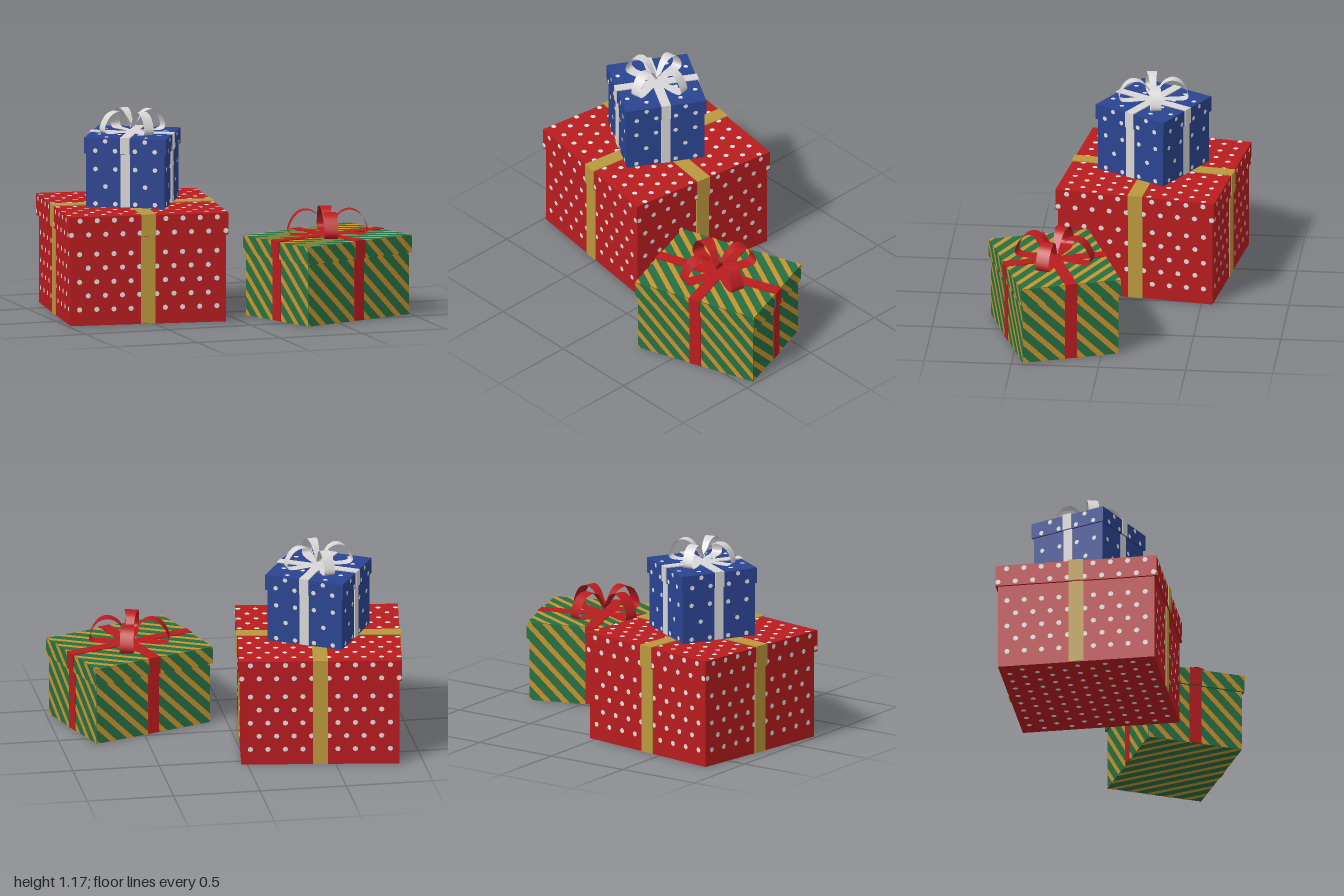
import * as THREE from 'three';
import { mergeGeometries } from 'three/addons/utils/BufferGeometryUtils.js';

const flat = (name, color, side = THREE.FrontSide) => {
  const m = new THREE.MeshStandardMaterial({ color, side });
  m.name = name;
  return m;
};

function add(group, name, geometry, material) {
  const mesh = new THREE.Mesh(geometry, material);
  mesh.name = name;
  group.add(mesh);
  return mesh;
}

// Staggered dots covering a w x h rectangle; narrow bands get two rows around the middle
function dots(w, h, pitch, row, radius, shift) {
  const list = [], cols = Math.ceil(w / pitch), rows = Math.ceil(h / row);
  const narrow = h < 2 * row;
  const offset = narrow ? row / 2 : h < w ? shift : 0;
  for (let j = -rows; j <= rows; j++) {
    const y = j * row + offset;
    if (Math.abs(y) > h / 2 - radius) continue;
    for (let i = -cols; i <= cols; i++) {
      const x = (i + (j & 1 ? 0.5 : 0)) * pitch;
      if (Math.abs(x) > w / 2 - radius) continue;
      list.push(new THREE.CircleGeometry(radius, 8).translate(x, y, 0));
    }
  }
  return list;
}

// Keep the part of a polygon where s * (x + y) <= s * limit
function clip(points, s, limit) {
  const out = [], dist = p => s * (p.x + p.y - limit);
  points.forEach((a, i) => {
    const b = points[(i + 1) % points.length], da = dist(a), db = dist(b);
    if (da <= 0) out.push(a);
    if (da * db < 0) out.push(a.clone().lerp(b, da / (da - db)));
  });
  return out;
}

// Diagonal stripes cut to a w x h rectangle
function stripes(w, h, pitch, width) {
  const list = [], end = (w + h) / 2;
  const rect = [[-1, -1], [1, -1], [1, 1], [-1, 1]].map(([x, y]) => new THREE.Vector2(x * w / 2, y * h / 2));
  for (let c = -Math.ceil(end / pitch) * pitch; c <= end + pitch; c += pitch) {
    const poly = clip(clip(rect, 1, c + width / 2), -1, c - width / 2);
    if (poly.length > 2) list.push(new THREE.ShapeGeometry(new THREE.Shape(poly)));
  }
  return list;
}

// Lay a flat pattern on the sides of a block, and on its top (cap 1) or underside (cap -1)
function wrapPattern({ w, h, d, y, cap }, pattern) {
  const e = 0.002, all = [], q = Math.PI / 2;
  const put = (pw, ph, dist, rx, ry) => pattern(pw, ph).forEach(g =>
    all.push(g.translate(0, 0, dist + e).rotateX(rx).rotateY(ry).translate(0, y + h / 2, 0)));
  put(w, h, d / 2, 0, 0);
  put(d, h, w / 2, 0, q);
  put(w, h, d / 2, 0, 2 * q);
  put(d, h, w / 2, 0, -q);
  put(w, d, h / 2, -q * cap, 0);
  return mergeGeometries(all);
}

// One bow loop: a strip swept along a closed teardrop, narrow at the knot
function bowLoop(radius, height, width) {
  const path = new THREE.CatmullRomCurve3([
    [0, 0.03], [0.5, 0.02], [0.92, 0.04], [0.99, 0.18], [0.92, 0.55], [0.76, 0.88],
    [0.54, 1], [0.32, 0.88], [0.15, 0.55], [0.01, 0.2],
  ].map(([x, y]) => new THREE.Vector3(x * radius, y * height, 0)));
  const g = new THREE.PlaneGeometry(1, 1, 40, 1), p = g.attributes.position;
  for (let i = 0; i < p.count; i++) {
    const c = path.getPoint(p.getX(i) + 0.5);
    const taper = 0.4 + 0.6 * Math.min(1, c.x / (radius * 0.6));
    p.setXYZ(i, c.x, c.y, p.getY(i) * width * taper);
  }
  g.computeVertexNormals();
  return g;
}

function gift(o) {
  const group = new THREE.Group();
  group.name = o.name;
  const { w, d, baseH, lidH, inset, ribbonW } = o;
  const t = 0.006;
  const parts = [
    { name: 'Base', w: w - inset, d: d - inset, h: baseH, y: 0, cap: -1 },
    { name: 'Lid', w, d, h: lidH, y: baseH, cap: 1 },
  ];
  for (const p of parts) {
    add(group, 'box' + p.name, new THREE.BoxGeometry(p.w, p.h, p.d).translate(0, p.y + p.h / 2, 0), o.paper);
    add(group, 'pattern' + p.name, wrapPattern(p, o.pattern), o.print);
    // Crossed ribbon bands around the part
    const lo = p.y + 0.002, hi = p.y + p.h + (p.cap > 0 ? t : 0);
    for (const [bw, bd] of [[ribbonW, p.d + 2 * t], [p.w + 2 * t, ribbonW]]) {
      add(group, 'ribbon' + p.name, new THREE.BoxGeometry(bw, hi - lo, bd).translate(0, (lo + hi) / 2, 0), o.ribbon);
    }
  }
  // Four-loop bow
  if (o.bow) {
    const bow = new THREE.Group();
    bow.name = 'bow';
    for (let i = 0; i < 4; i++) {
      add(bow, 'bowLoop', bowLoop(o.bow.radius, o.bow.height, o.bow.width), o.ribbon).rotation.y = i * Math.PI / 2;
    }
    bow.position.y = baseH + lidH + t;
    bow.rotation.y = o.bow.turn - o.turn;
    group.add(bow);
  }
  group.position.set(...o.at);
  group.rotation.y = o.turn;
  return group;
}

export function createModel() {
  const red = flat('red', 0xb81c1f, THREE.DoubleSide);
  const blue = flat('blue', 0x2a4490);
  const green = flat('green', 0x267042);
  const gold = flat('gold', 0xba983c);
  const stripeGold = flat('stripeGold', 0xc8942e);
  const silver = flat('silver', 0xd8d6d6, THREE.DoubleSide);
  const white = flat('dotWhite', 0xe2dede);

  const model = new THREE.Group();
  model.name = 'giftBoxes';
  model.add(
    gift({
      name: 'largeGift', w: 0.931, d: 0.931, baseH: 0.505, lidH: 0.125, inset: 0.026, ribbonW: 0.085,
      paper: red, print: white, ribbon: gold,
      pattern: (w, h) => dots(w, h, 0.1, 0.08, 0.0155, 0),
      at: [-0.475, 0, -0.18], turn: -0.14,
    }),
    gift({
      name: 'smallGift', w: 0.474, d: 0.474, baseH: 0.31, lidH: 0.09, inset: 0.02, ribbonW: 0.055,
      paper: blue, print: white, ribbon: silver,
      pattern: (w, h) => dots(w, h, 0.115, h < 0.1 ? 0.055 : 0.1, 0.014, -0.035),
      bow: { radius: 0.2, height: 0.125, width: 0.062, turn: 0.17 },
      at: [-0.475, 0.636, -0.18], turn: -0.52,
    }),
    gift({
      name: 'mediumGift', w: 0.764, d: 0.588, baseH: 0.36, lidH: 0.1, inset: 0.025, ribbonW: 0.07,
      paper: green, print: stripeGold, ribbon: red,
      pattern: (w, h) => stripes(w, h, 0.11, 0.043),
      bow: { radius: 0.23, height: 0.145, width: 0.078, turn: -0.24 },
      at: [0.54, 0, 0.293], turn: 0.34,
    }),
  );
  return model;
}
